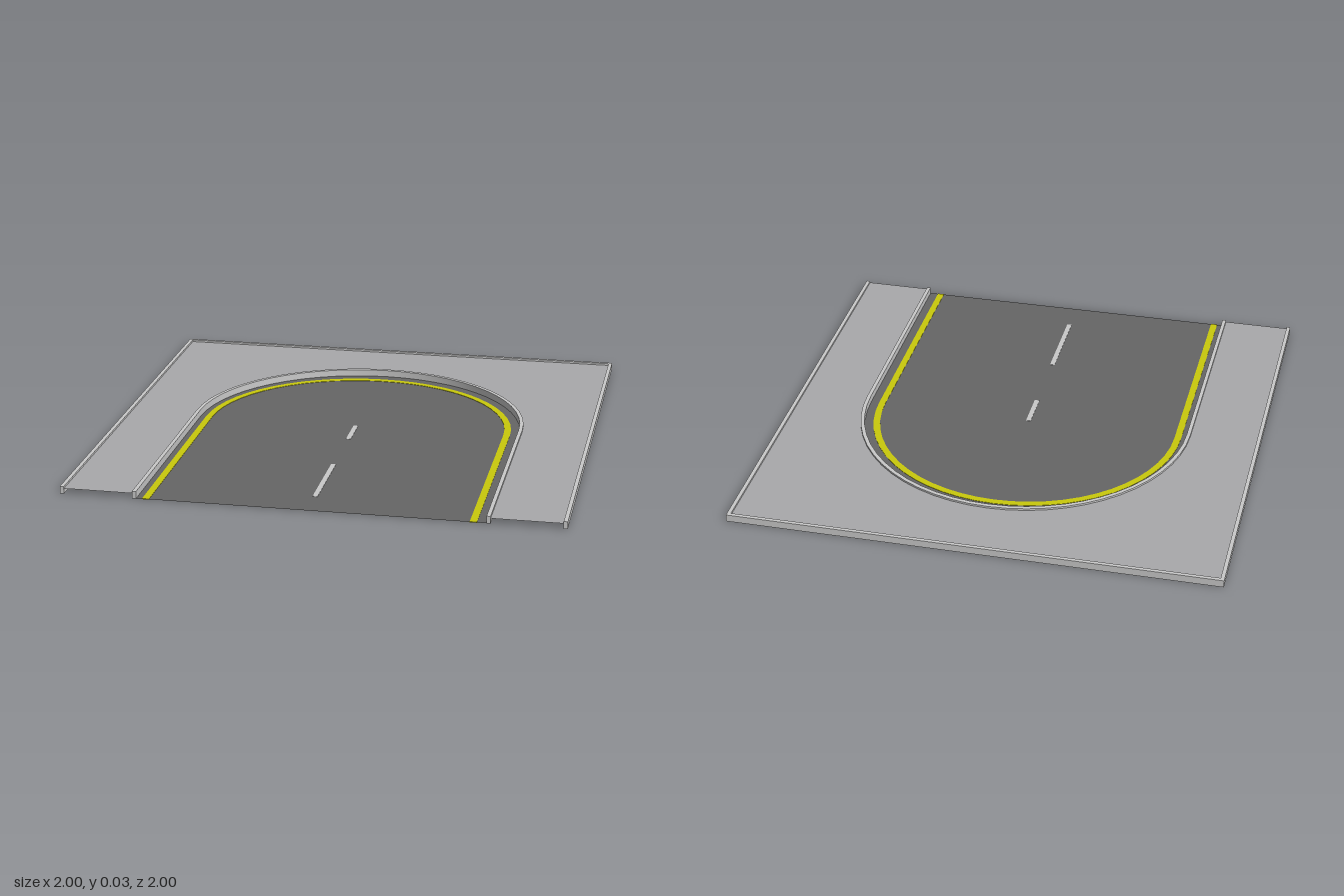
import * as THREE from 'three';
import { toCreasedNormals } from 'three/addons/utils/BufferGeometryUtils.js';

const ARC_STEPS = 28;

function material(name, color, side = THREE.FrontSide) {
  const m = new THREE.MeshStandardMaterial({ color, side });
  m.name = name;
  return m;
}

// Points of an upside-down U in plan: right leg, half-ellipse, left leg (plan y = -z)
function archPoints(rx, rz, cx = 0) {
  const pts = [new THREE.Vector2(cx + rx, -1)];
  for (let i = 0; i <= ARC_STEPS; i++) {
    const a = (i / ARC_STEPS) * Math.PI;
    pts.push(new THREE.Vector2(cx + Math.cos(a) * rx, Math.sin(a) * rz));
  }
  pts.push(new THREE.Vector2(cx - rx, -1));
  return pts;
}

// Square U used for the outer border
function squarePoints(half) {
  return [[half, -1], [half, half], [-half, half], [-half, -1]]
    .map(([x, y]) => new THREE.Vector2(x, y));
}

// Closed band between an outer and an inner U
const band = (outer, inner) => new THREE.Shape([...outer, ...inner.reverse()]);

// Plan shape raised from y = base by height
function raise(shape, base, height) {
  const g = new THREE.ExtrudeGeometry(shape, { depth: height, bevelEnabled: false });
  g.rotateX(-Math.PI / 2);
  g.translate(0, base, 0);
  return toCreasedNormals(g, Math.PI / 6);
}

export function createModel() {
  const group = new THREE.Group();
  group.name = 'deadEndRoad';

  const asphalt = material('asphalt', 0x666666, THREE.DoubleSide);
  const paving = material('paving', 0xa9a9ab, THREE.DoubleSide);
  const kerbStone = material('kerbStone', 0xcacaca);
  const yellowPaint = material('yellowPaint', 0xcaca0c);

  function add(name, geometry, mat) {
    const mesh = new THREE.Mesh(geometry, mat);
    mesh.name = name;
    group.add(mesh);
  }

  // Road sheet, running square under the rounded end
  const road = new THREE.PlaneGeometry(1.39, 1.7);
  road.rotateX(-Math.PI / 2);
  road.translate(0, 0.0015, 0.15);
  add('roadSurface', road, asphalt);

  // Pavement sheet around the rounded end
  const sheet = new THREE.ShapeGeometry(band(squarePoints(0.99), archPoints(0.698, 0.7)));
  sheet.rotateX(-Math.PI / 2);
  sheet.translate(0, 0.022, 0);
  add('pavement', sheet, paving);

  // Kerbs, open at the front
  add('outerKerb', raise(band(squarePoints(1), squarePoints(0.984)), 0, 0.03), kerbStone);
  add('innerKerb', raise(band(archPoints(0.706, 0.71), archPoints(0.69, 0.692)), 0, 0.03), kerbStone);

  // Painted edge line, showing on both faces of the road sheet
  add('edgeLine', raise(band(archPoints(0.66, 0.645, -0.006), archPoints(0.632, 0.617, -0.006)), 0, 0.003), yellowPaint);

  // Lane dashes
  for (const [z0, z1] of [[0, 0.17], [0.48, 0.85]]) {
    const dash = new THREE.BoxGeometry(0.02, 0.003, z1 - z0);
    dash.translate(-0.007, 0.0015, (z0 + z1) / 2);
    add('laneDash', dash, kerbStone);
  }

  return group;
}
